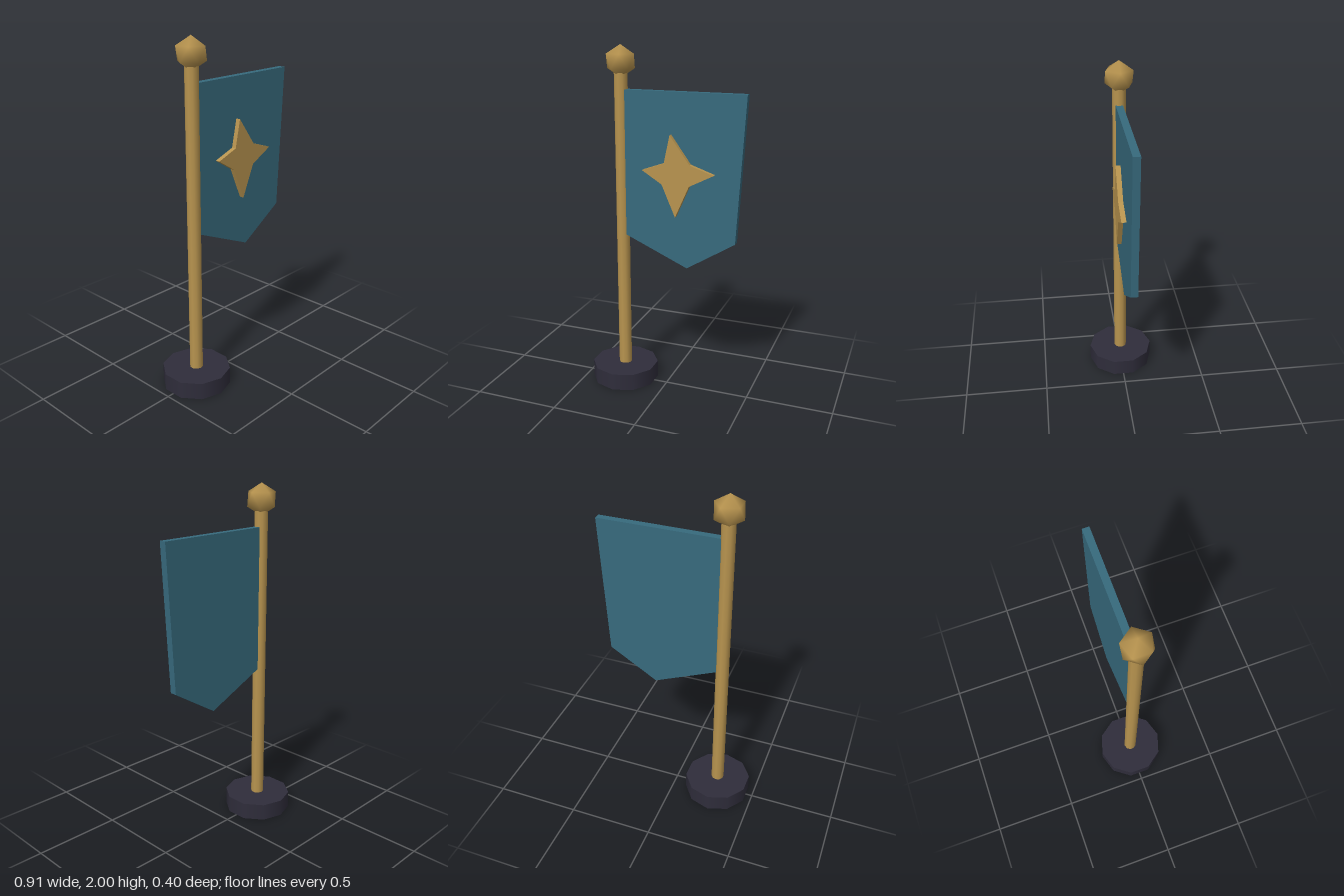
import * as THREE from 'three';

const POLE_X = -0.27;

const material = (name, color) => {
  const m = new THREE.MeshStandardMaterial({ color });
  m.name = name;
  return m;
};

// Flat outline given thickness between two z planes
function plate(points, zBack, zFront) {
  const shape = new THREE.Shape(points.map(([x, y]) => new THREE.Vector2(x, y)));
  const geometry = new THREE.ExtrudeGeometry(shape, { depth: zFront - zBack, bevelEnabled: false });
  return geometry.translate(0, 0, zBack);
}

export function createModel() {
  const group = new THREE.Group();
  group.name = 'flagOnStand';

  const gold = material('gold', 0xb8944f);
  const teal = material('teal', 0x376a7d);
  const dark = material('darkSlate', 0x2f2d3b);

  const add = (name, geometry, mat, x = 0, y = 0) => {
    const mesh = new THREE.Mesh(geometry, mat);
    mesh.name = name;
    mesh.position.set(x, y, 0);
    group.add(mesh);
  };

  // Ten-sided foot and pole
  add('base', new THREE.CylinderGeometry(0.198, 0.198, 0.1, 10), dark, POLE_X, 0.05);
  add('pole', new THREE.CylinderGeometry(0.038, 0.038, 1.8, 10), gold, POLE_X, 0.97);

  // Smooth-shaded icosahedron with one corner pointing up
  const knob = new THREE.IcosahedronGeometry(0.09, 0);
  knob.rotateZ(-Math.atan(2 / (1 + Math.sqrt(5))));
  knob.setAttribute('normal', knob.attributes.position.clone());
  knob.normalizeNormals();
  add('finial', knob, gold, POLE_X, 1.91);

  // Pennant with a pointed lower edge
  add('flag', plate([
    [-0.25, 1.76], [-0.25, 0.93], [0.13, 0.765], [0.41, 0.94], [0.455, 1.76],
  ], -0.018, 0.022), teal);

  // Four-pointed star in front of the cloth
  add('starEmblem', plate([
    [0.037, 1.53], [0.003, 1.372], [-0.127, 1.325], [-0.01, 1.253],
    [0.07, 1.07], [0.15, 1.253], [0.29, 1.325], [0.152, 1.372],
  ], 0.029, 0.056), gold);

  return group;
}
